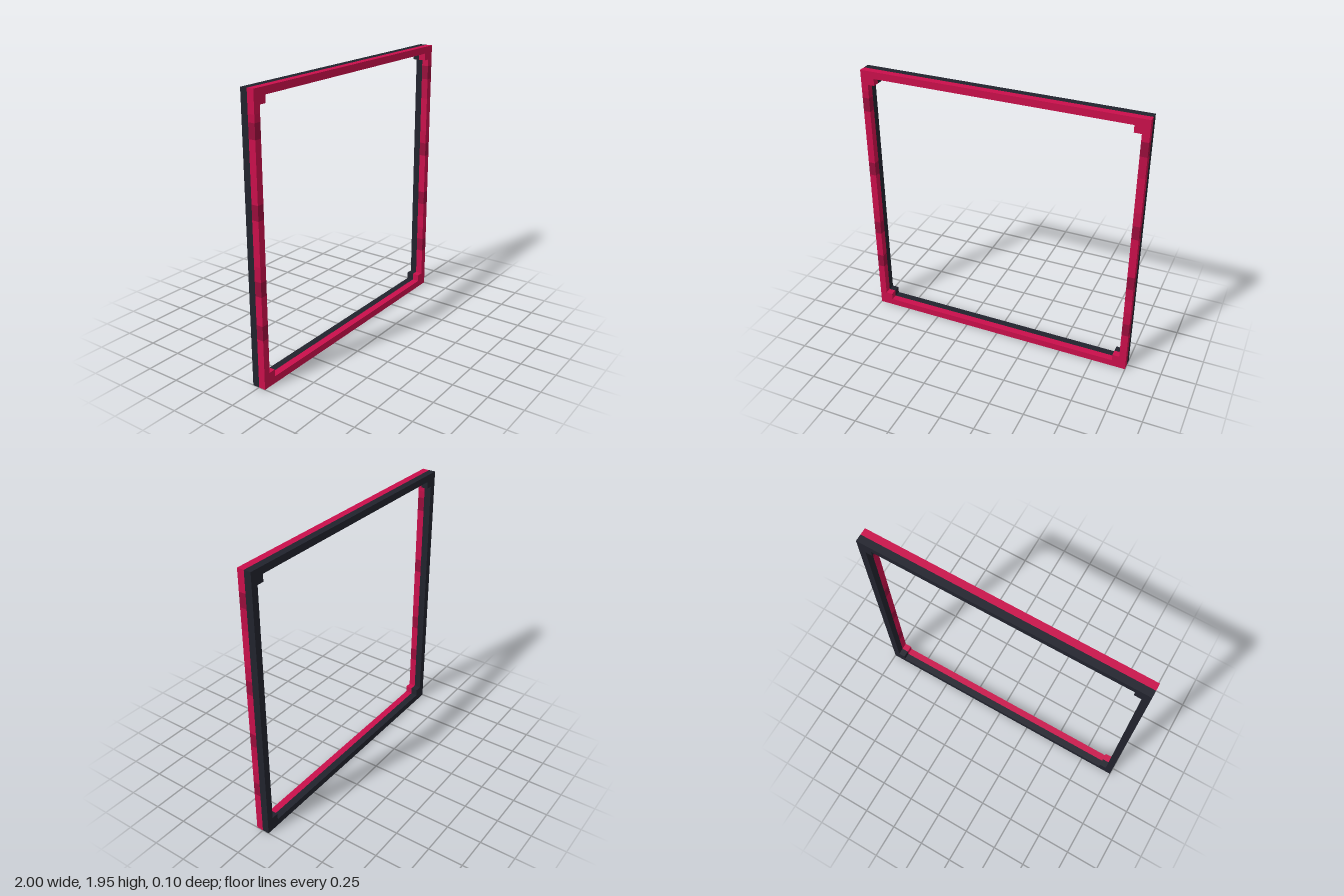
import * as THREE from 'three';

const W = 2, H = 1.95, T = 0.05; // outer size and bar thickness

export function createModel() {
  const mat = (name, color) => new THREE.MeshStandardMaterial({ name, color });
  const red = mat('crimson', 0xc90f4b);
  const mid = mat('deep crimson', 0xbe0e47);
  const dark = mat('dark crimson', 0x980d3b);
  const black = mat('charcoal', 0x21232d);

  const model = new THREE.Group();
  model.name = 'squareFrame';

  // Box given by its x, y and z ranges
  const box = (name, material, x0, x1, y0, y1, z0, z1) => {
    const mesh = new THREE.Mesh(new THREE.BoxGeometry(x1 - x0, y1 - y0, z1 - z0), material);
    mesh.position.set((x0 + x1) / 2, (y0 + y1) / 2, (z0 + z1) / 2);
    mesh.name = name;
    model.add(mesh);
  };

  // Flat frame with a square step in every inner corner
  const x = W / 2 - T, a = T, b = H - T;
  const back = new THREE.Shape([[-1, 0], [1, 0], [1, H], [-1, H]].map(p => new THREE.Vector2(...p)));
  back.holes.push(new THREE.Path([
    [-x + T, a], [-x + T, a + T], [-x, a + T], [-x, b - T], [-x + T, b - T], [-x + T, b],
    [x - T, b], [x - T, b - T], [x, b - T], [x, a + T], [x - T, a + T], [x - T, a],
  ].map(p => new THREE.Vector2(...p))));
  const backMesh = new THREE.Mesh(new THREE.ExtrudeGeometry(back, { depth: T, bevelEnabled: false }), black);
  backMesh.name = 'backFrame';
  backMesh.position.z = -T;
  model.add(backMesh);

  // Front rails
  box('bottomRail', red, -1, 1, 0, T, 0, T);
  box('topRail', red, -1, 1, b, H, 0, T);

  // Front posts, stacked from coloured bands: [top of band, material]
  const posts = {
    right: [[0.35, red], [0.45, dark], [0.65, red], [0.75, dark], [0.85, mid], [1.15, red],
      [1.25, dark], [1.65, red], [1.75, dark], [1.8, mid], [b, red]],
    left: [[0.3, red], [0.4, dark], [0.5, mid], [0.6, red], [0.7, mid], [0.8, dark], [1.1, red],
      [1.2, dark], [1.3, mid], [1.55, red], [1.7, mid], [1.8, dark], [b, red]],
  };
  for (const [side, bands] of Object.entries(posts)) {
    const x0 = side === 'left' ? x : -1;
    let y = T;
    for (const [top, material] of bands) {
      box(side + 'PostBand', material, x0, x0 + T, y, top, 0, T);
      y = top;
    }
    // Front corner blocks
    const c0 = side === 'left' ? x - T : -x;
    box(side + 'BottomCorner', red, c0, c0 + T, a, a + T, 0, T);
    box(side + 'TopCorner', red, c0, c0 + T, b - T, b, 0, T);
  }
  return model;
}
